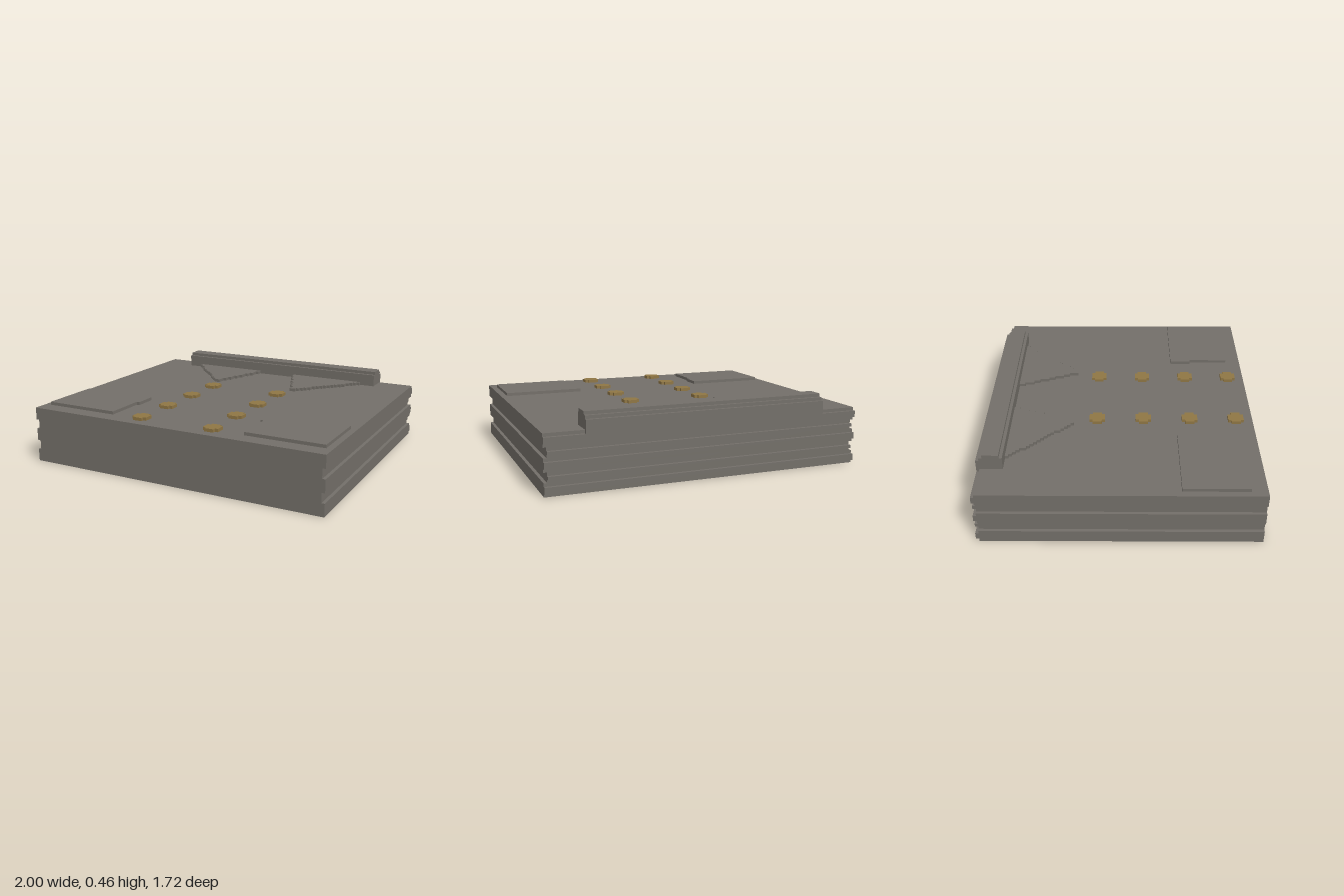
import * as THREE from 'three';

const U = 0.02; // block grid step
const TOP = 0.36; // deck height

const polygon = (pts) => new THREE.Shape(pts.map(([x, y]) => new THREE.Vector2(x, y)));
const extrude = (pts, depth) => new THREE.ExtrudeGeometry(polygon(pts), { depth, bevelEnabled: false });

// Raised plate on the deck, outlined by [x, z] points
const plateGeometry = (pts) =>
  extrude(pts.map(([x, z]) => [x, -z]), U).rotateX(-Math.PI / 2).translate(0, TOP, 0);

export function createModel() {
  const stone = new THREE.MeshStandardMaterial({ color: 0x736f69 });
  stone.name = 'stone grey';
  const brass = new THREE.MeshStandardMaterial({ color: 0x8f7644 });
  brass.name = 'brass';

  const model = new THREE.Group();
  model.name = 'slab';
  const add = (name, geometry, material = stone) => {
    const mesh = new THREE.Mesh(geometry, material);
    mesh.name = name;
    model.add(mesh);
    return mesh;
  };

  // Main slab with two grooves running along each side
  const side = [[1, 0], [1, 0.08], [0.98, 0.08], [0.98, 0.14], [1, 0.14],
    [1, 0.22], [0.98, 0.22], [0.98, 0.28], [1, 0.28], [1, TOP]];
  const mirrored = side.map(([x, y]) => [-x, y]).reverse();
  add('body', extrude([...side, ...mirrored], 1.7).translate(0, 0, -0.84));

  // Horizontal ridges on the back: bottom, top, half width
  for (const [y0, y1, halfWidth] of [[0.02, 0.06, 1], [0.1, 0.12, 0.98], [0.16, 0.2, 1],
    [0.24, 0.26, 0.98], [0.3, 0.34, 1]]) {
    add('backRidge', new THREE.BoxGeometry(halfWidth * 2, y1 - y0, U))
      .position.set(0, (y0 + y1) / 2, -0.85);
  }

  // Stepped bar along the rear edge, profile as [-z, y]
  const bar = [[0.7, 0.36], [0.7, 0.44], [0.72, 0.44], [0.72, 0.46], [0.82, 0.46], [0.82, 0.44],
    [0.84, 0.44], [0.84, 0.42], [0.86, 0.42], [0.86, 0.34], [0.84, 0.34], [0.84, 0.36]];
  add('rearBar', extrude(bar, 1.52).rotateY(Math.PI / 2).translate(-0.76, 0, 0));

  // Stair-stepped triangle outline pointing to the front
  const inner = [];
  const outer = [];
  for (let i = 0; i < 20; i++) {
    const t = (i + 0.5) / 20;
    const z0 = -0.7 + i * U;
    const x0 = Math.floor((0.14 + 0.16 * t) / U) * U;
    const x1 = Math.ceil((0.66 - 0.36 * t) / U) * U;
    inner.push([x0, z0], [x0, z0 + U]);
    outer.push([x1, z0], [x1, z0 + U]);
  }
  const triangle = [...inner, ...outer.reverse()];

  // Notched panel near each front corner
  const panel = [[0.44, 0.36], [0.96, 0.36], [0.96, 0.76], [0.46, 0.76], [0.46, 0.5], [0.44, 0.5]];

  // Round stud with stepped corners
  const stud = [[0.05, 0.03], [0.03, 0.03], [0.03, 0.05], [-0.03, 0.05], [-0.03, 0.03], [-0.05, 0.03],
    [-0.05, -0.03], [-0.03, -0.03], [-0.03, -0.05], [0.03, -0.05], [0.03, -0.03], [0.05, -0.03]];
  const studGeometry = plateGeometry(stud);

  for (const s of [1, -1]) {
    const label = s > 0 ? 'left' : 'right';
    const mirror = (pts) => pts.map(([x, z]) => [s * x, z]);
    add(label + 'Triangle', plateGeometry(mirror(triangle)));
    add(label + 'Panel', plateGeometry(mirror(panel)));
    for (const z of [-0.15, 0.15, 0.45, 0.75]) {
      add(label + 'Stud', studGeometry, brass).position.set(s * 0.25, 0, z);
    }
  }
  return model;
}
